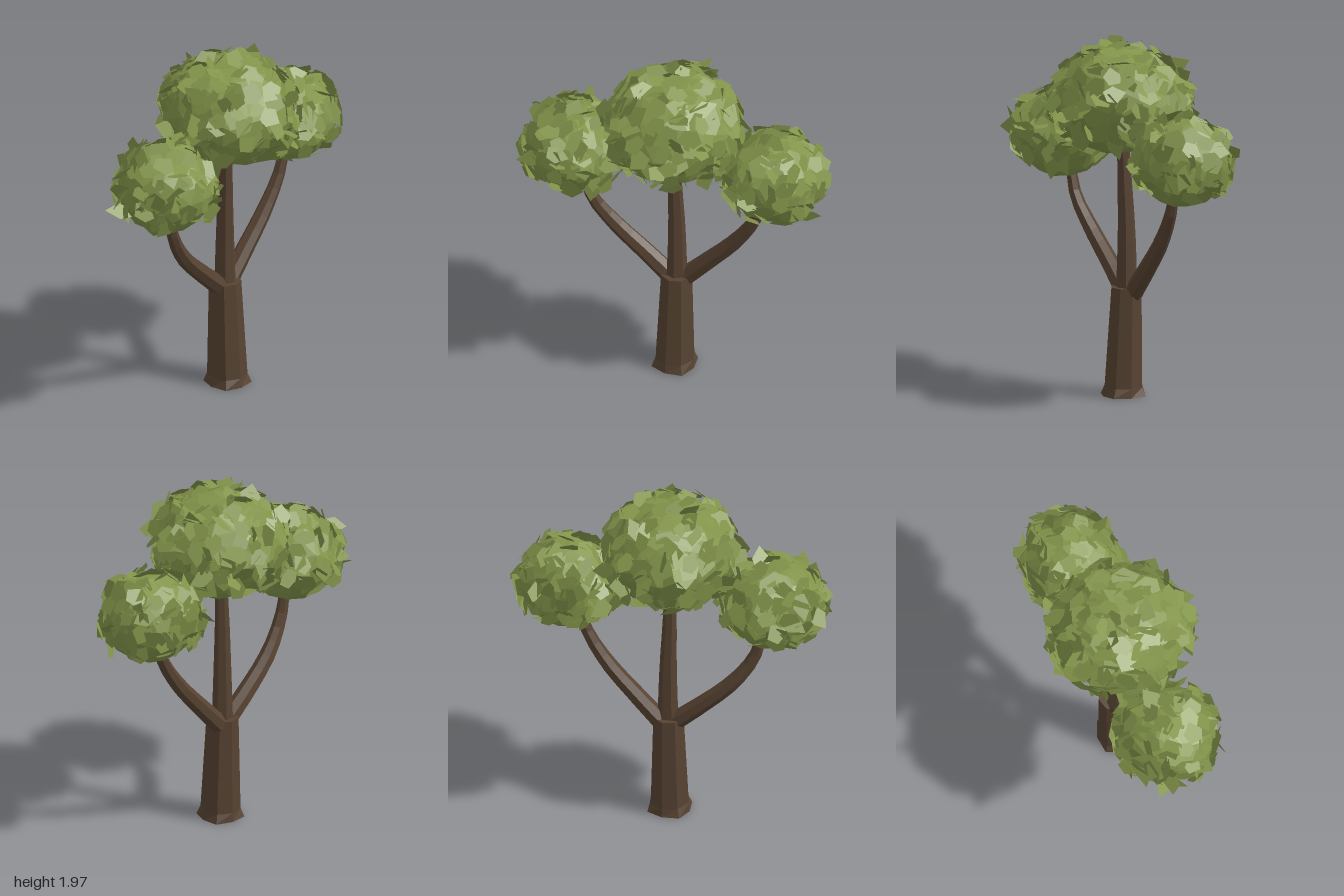
import * as THREE from 'three';
import { mergeGeometries } from 'three/addons/utils/BufferGeometryUtils.js';

// small seeded generator
function seeded(seed) {
  let s = seed;
  return () => {
    s = (s * 16807) % 2147483647;
    return s / 2147483647;
  };
}

// flat-sided limb swept along a curve, tapering by [t, radius] pairs
function limb(points, radii, sides, steps) {
  const curve = new THREE.CatmullRomCurve3(points.map((p) => new THREE.Vector3(...p)));
  const geo = new THREE.TubeGeometry(curve, steps, 1, sides, false);
  const pos = geo.attributes.position;
  const centre = new THREE.Vector3(), v = new THREE.Vector3();
  for (let i = 0; i <= steps; i++) {
    const t = i / steps;
    let k = 0;
    while (k < radii.length - 2 && t > radii[k + 1][0]) k++;
    const [t0, r0] = radii[k], [t1, r1] = radii[k + 1];
    const r = r0 + (r1 - r0) * (t - t0) / (t1 - t0);
    curve.getPointAt(t, centre);
    for (let j = 0; j <= sides; j++) {
      const n = i * (sides + 1) + j;
      v.fromBufferAttribute(pos, n).sub(centre).multiplyScalar(r).add(centre);
      pos.setXYZ(n, v.x, v.y, v.z);
    }
  }
  return geo;
}

// faceted, slightly lumpy ellipsoid
function crownCore(radius, phase) {
  const geo = new THREE.IcosahedronGeometry(1, 2);
  const pos = geo.attributes.position, v = new THREE.Vector3();
  for (let i = 0; i < pos.count; i++) {
    v.fromBufferAttribute(pos, i);
    const lump = 1 + 0.03 * Math.sin(v.x * 7 + phase) * Math.cos(v.z * 6 - phase) + 0.02 * Math.sin(v.y * 9 + phase);
    v.multiplyScalar(lump).multiply(radius);
    pos.setXYZ(i, v.x, v.y, v.z);
  }
  geo.computeVertexNormals();
  return geo;
}

// large pointed leaves, mostly lying on the ellipsoid, some standing out as spikes
function crownLeaves(radius, count, seed) {
  const rand = seeded(seed);
  const spread = () => rand() * 2 - 1;
  const leaf = new THREE.ShapeGeometry(new THREE.Shape([
    [-0.032, -0.055], [0.038, -0.05], [0.06, 0.01], [0.005, 0.085], [-0.055, 0.018],
  ].map(([x, y]) => new THREE.Vector2(x, y))));
  const parts = [];
  const dummy = new THREE.Object3D();
  for (let i = 0; i < count; i++) {
    // even spiral from the top down to a little below the middle
    const y = 1 - 1.58 * (i + 0.5) / count;
    const a = i * 2.39996 + spread() * 0.3;
    const ring = Math.sqrt(1 - y * y);
    const dir = new THREE.Vector3(Math.cos(a) * ring, y, Math.sin(a) * ring);
    dummy.position.copy(dir).multiply(radius).multiplyScalar(1 + rand() * 0.1);
    const facing = dir.clone().divide(radius).normalize();
    const tilt = rand() < 0.25 ? 1.2 : 0.55;
    facing.add(new THREE.Vector3(spread(), spread(), spread()).multiplyScalar(tilt));
    dummy.lookAt(dummy.position.clone().add(facing));
    dummy.rotateZ(rand() * Math.PI * 2);
    dummy.scale.set(0.7 + rand() * 0.45, 0.7 + rand() * 0.45, 1);
    dummy.updateMatrix();
    parts.push(leaf.clone().applyMatrix4(dummy.matrix));
  }
  return mergeGeometries(parts);
}

export function createModel() {
  const bark = new THREE.MeshStandardMaterial({ color: 0x574332, flatShading: true });
  bark.name = 'brown bark';
  const green = new THREE.MeshStandardMaterial({ color: 0x82944a, flatShading: true, side: THREE.DoubleSide });
  green.name = 'leaf green';

  const tree = new THREE.Group();
  tree.name = 'tree';
  const add = (parent, name, geometry, material) => {
    const mesh = new THREE.Mesh(geometry, material);
    mesh.name = name;
    parent.add(mesh);
  };

  // trunk: eight-sided, leaning slightly to -x, foot flared at the diagonal corners
  const trunkGeo = new THREE.CylinderGeometry(0.092, 0.117, 0.6, 8, 12);
  trunkGeo.translate(0, 0.3, 0);
  const tp = trunkGeo.attributes.position;
  for (let i = 0; i < tp.count; i++) {
    const x = tp.getX(i), y = tp.getY(i), z = tp.getZ(i);
    const diagonal = Math.min(Math.abs(x), Math.abs(z)) > 0.01;
    const scale = y > 0.01 ? 0.96 : diagonal ? 1.13 : 1;
    tp.setX(i, x * scale - 0.02 * y / 0.6);
    tp.setZ(i, z * scale);
  }
  add(tree, 'trunk', trunkGeo, bark);

  // three limbs
  add(tree, 'middleBranch', limb(
    [[-0.02, 0.56, 0], [-0.02, 0.9, 0], [-0.01, 1.2, 0.005], [0, 1.42, 0.005]],
    [[0, 0.06], [1, 0.033]], 7, 6), bark);
  add(tree, 'frontBranch', limb(
    [[-0.02, 0.56, 0.02], [0.0, 0.69, 0.17], [0.04, 0.86, 0.35], [0.085, 1.03, 0.465], [0.1, 1.22, 0.51]],
    [[0, 0.055], [0.5, 0.045], [1, 0.027]], 7, 10), bark);
  add(tree, 'backBranch', limb(
    [[-0.04, 0.56, -0.03], [-0.06, 0.71, -0.17], [-0.08, 0.89, -0.33], [-0.09, 1.07, -0.445], [-0.095, 1.24, -0.5]],
    [[0, 0.055], [0.5, 0.045], [1, 0.027]], 7, 10), bark);

  // leafy crowns: name, centre, radii, leaf count, seed
  const crowns = [
    ['middleCrown', [0.015, 1.63, 0.0], [0.365, 0.29, 0.345], 210, 911],
    ['frontCrown', [0.125, 1.37, 0.55], [0.265, 0.24, 0.265], 135, 4271],
    ['backCrown', [-0.12, 1.38, -0.55], [0.255, 0.24, 0.265], 135, 7753],
  ];
  crowns.forEach(([name, centre, radii, count, seed], i) => {
    const radius = new THREE.Vector3(...radii);
    const crown = new THREE.Group();
    crown.name = name;
    crown.position.set(...centre);
    add(crown, name + 'Core', crownCore(radius, i * 2 + 1), green);
    add(crown, name + 'Leaves', crownLeaves(radius, count, seed), green);
    tree.add(crown);
  });
  return tree;
}
